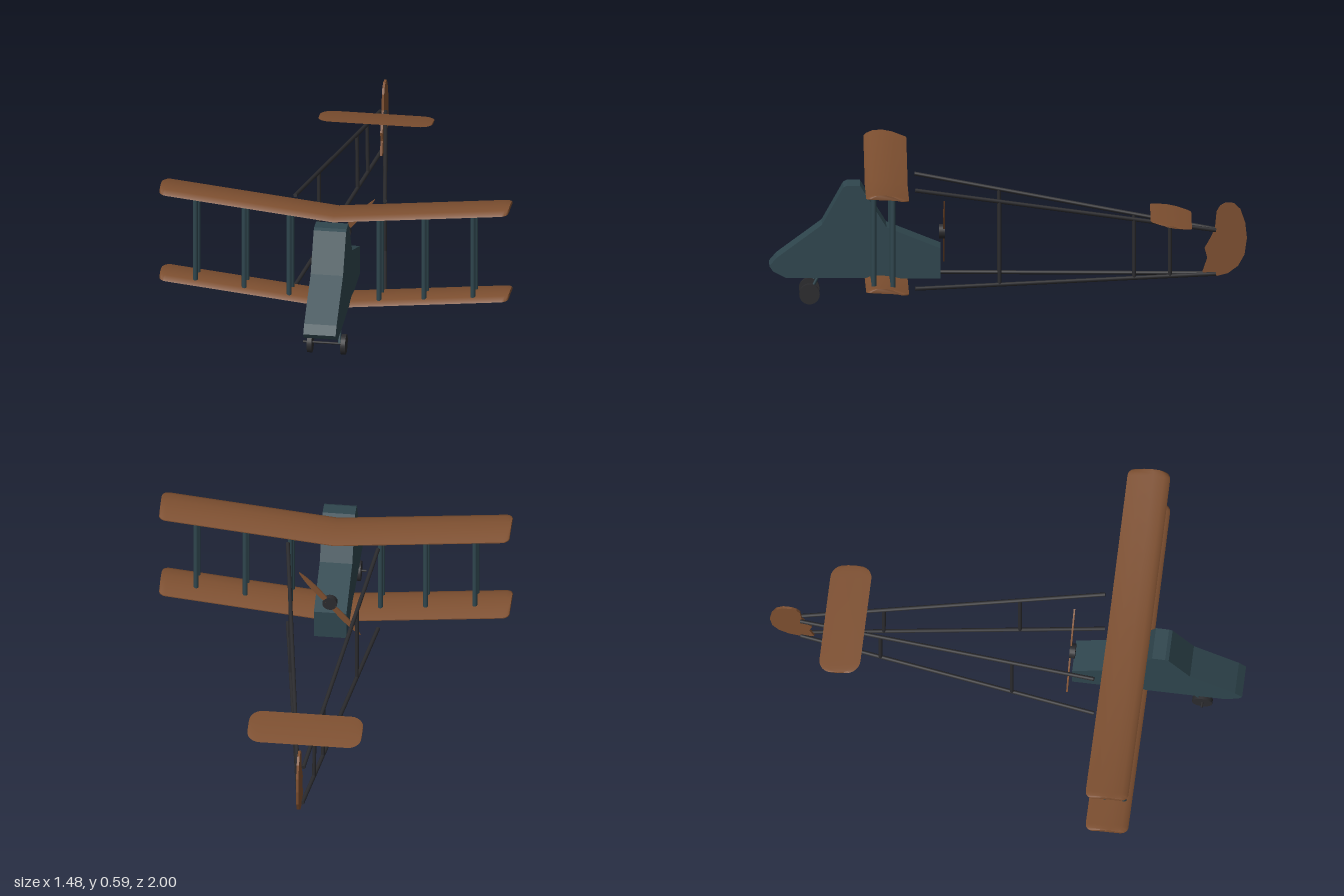
import * as THREE from 'three';
import { toCreasedNormals } from 'three/addons/utils/BufferGeometryUtils.js';

const paint = (name, color) => {
  const m = new THREE.MeshStandardMaterial({ color });
  m.name = name;
  return m;
};

export function createModel() {
  const model = new THREE.Group();
  model.name = 'biplane';
  const wood = paint('brown wood', 0x7d4f30);
  const teal = paint('dark teal', 0x2f464e);
  const black = paint('near black', 0x2b2b2e);

  const add = (name, geometry, material, parent = model) => {
    const mesh = new THREE.Mesh(geometry, material);
    mesh.name = name;
    parent.add(mesh);
    return mesh;
  };

  // Round rod between two points
  const rod = (name, a, b, radius, material, parent = model) => {
    const p = new THREE.Vector3(...a), q = new THREE.Vector3(...b);
    const dir = q.clone().sub(p);
    const mesh = add(name, new THREE.CylinderGeometry(radius, radius, dir.length(), 12), material, parent);
    mesh.position.copy(p).add(q).multiplyScalar(0.5);
    mesh.quaternion.setFromUnitVectors(new THREE.Vector3(0, 1, 0), dir.normalize());
    return mesh;
  };

  // Flat outline given a thickness across x; outline points are [z, y]
  const sidePlate = (points, width) => {
    const shape = new THREE.Shape(points.map(([z, y]) => new THREE.Vector2(-z, y)));
    const g = new THREE.ExtrudeGeometry(shape, { depth: width, bevelEnabled: false });
    return g.translate(0, 0, -width / 2).rotateY(Math.PI / 2);
  };

  // Cambered section lofted along x with rounded corners and dihedral
  const wingGeometry = (span, chord, corner, section, dihedral) => {
    const half = [];
    for (let i = 0; i <= 6; i++) {
      const a = (i / 6) * Math.PI / 2;
      half.push([span - corner + corner * Math.sin(a), chord - corner + corner * Math.cos(a)]);
    }
    const stations = [...half.map(([x, c]) => [-x, c]).reverse(), [0, chord], ...half];
    const n = section.length, pos = [], idx = [];
    for (const [x, c] of stations)
      for (const [u, y] of section) pos.push(x, y + Math.abs(x) * dihedral, u * c);
    for (let i = 0; i < stations.length - 1; i++)
      for (let j = 0; j < n; j++) {
        const a = i * n + j, b = i * n + (j + 1) % n;
        idx.push(a, b, a + n, b, b + n, a + n);
      }
    const last = (stations.length - 1) * n;
    for (let j = 1; j < n - 1; j++) idx.push(0, j + 1, j, last, last + j, last + j + 1);
    const g = new THREE.BufferGeometry();
    g.setAttribute('position', new THREE.Float32BufferAttribute(pos, 3));
    g.setIndex(idx);
    return toCreasedNormals(g, 0.6);
  };

  // Fuselage
  add('fuselage', sidePlate([
    [1, 0.16], [0.97, 0.195], [0.78, 0.335], [0.69, 0.495], [0.675, 0.502], [0.62, 0.502],
    [0.51, 0.325], [0.283, 0.235], [0.283, 0.107], [0.93, 0.11], [0.985, 0.138],
  ], 0.137), teal);

  // Main wings
  const airfoil = [
    [-1, -0.016], [-0.4, 0.002], [0.2, 0.009], [0.7, 0.007], [0.92, -0.001], [1, -0.009],
    [0.92, -0.011], [0.7, -0.009], [0.2, -0.008], [-0.4, -0.012], [-1, -0.02],
  ];
  const slope = 0.105;
  for (const [name, y] of [['upperWing', 0.502], ['lowerWing', 0.104]])
    add(name, wingGeometry(0.738, 0.09, 0.03, airfoil, slope), wood).position.set(0, y, 0.51);

  // Wing struts in pairs
  for (const side of [-1, 1])
    for (const x of [0.19, 0.38, 0.587])
      for (const z of [0.567, 0.487])
        rod('wingStrut', [side * x, 0.09 + x * slope, z], [side * x, 0.5 + x * slope, z], 0.0105, teal);

  // Tail booms and their uprights
  const upper = [[0.19, 0.505, 0.39], [0.012, 0.3, -0.87]];
  const lower = [[0.19, 0.086, 0.39], [0.008, 0.113, -0.87]];
  for (const side of [-1, 1]) {
    const mirror = ([x, y, z]) => [side * x, y, z];
    const at = ([a, b], z) => {
      const t = (a[2] - z) / (a[2] - b[2]);
      return mirror(a.map((v, i) => v + (b[i] - v) * t));
    };
    rod('upperBoom', mirror(upper[0]), mirror(upper[1]), 0.0085, black);
    rod('lowerBoom', mirror(lower[0]), mirror(lower[1]), 0.0085, black);
    for (const z of [0.037, -0.527, -0.677])
      rod('boomUpright', at(upper, z), at(lower, z), 0.008, black);
  }

  // Tailplane
  const flat = [[-1, 0], [-0.5, 0.004], [0.5, 0.004], [1, 0], [0.5, -0.004], [-0.5, -0.004]];
  const tail = add('tailplane', wingGeometry(0.24, 0.088, 0.055, flat, 0), wood);
  tail.position.set(0, 0.356, -0.682);
  tail.rotation.x = -0.19;

  // Rudder
  add('rudder', sidePlate([
    [-0.866, 0.307], [-0.873, 0.377], [-0.888, 0.402], [-0.91, 0.415], [-0.945, 0.413], [-0.973, 0.387],
    [-0.993, 0.33], [-1, 0.265], [-0.99, 0.195], [-0.963, 0.147], [-0.92, 0.115], [-0.877, 0.104],
    [-0.813, 0.12], [-0.834, 0.18], [-0.823, 0.222], [-0.85, 0.27],
  ], 0.01), wood);

  // Pusher propeller
  const propeller = new THREE.Group();
  propeller.name = 'propeller';
  propeller.position.set(0, 0.295, 0.265);
  model.add(propeller);
  const hub = new THREE.CylinderGeometry(0.031, 0.031, 0.024, 20).rotateX(Math.PI / 2);
  add('propellerHub', hub, black, propeller).position.z = 0.012;
  const blade = new THREE.Shape();
  blade.moveTo(0, -0.008);
  blade.quadraticCurveTo(0.12, -0.02, 0.202, 0);
  blade.quadraticCurveTo(0.12, 0.02, 0, 0.008);
  const bladeGeometry = new THREE.ExtrudeGeometry(blade, { depth: 0.007, bevelEnabled: false });
  for (const turn of [0, Math.PI])
    add('propellerBlade', bladeGeometry, wood, propeller).rotation.z = 0.87 + turn;

  // Landing gear
  rod('axle', [-0.093, 0.045, 0.832], [0.085, 0.045, 0.832], 0.005, black);
  for (const x of [-0.062, 0.08]) {
    const wheel = new THREE.CylinderGeometry(0.043, 0.043, 0.02, 24).rotateZ(Math.PI / 2);
    add('wheel', wheel, black).position.set(x, 0.0435, 0.832);
  }
  for (const x of [-0.06, 0.06])
    rod('gearLeg', [x, 0.045, 0.832], [x, 0.13, 0.788], 0.006, teal);

  return model;
}
